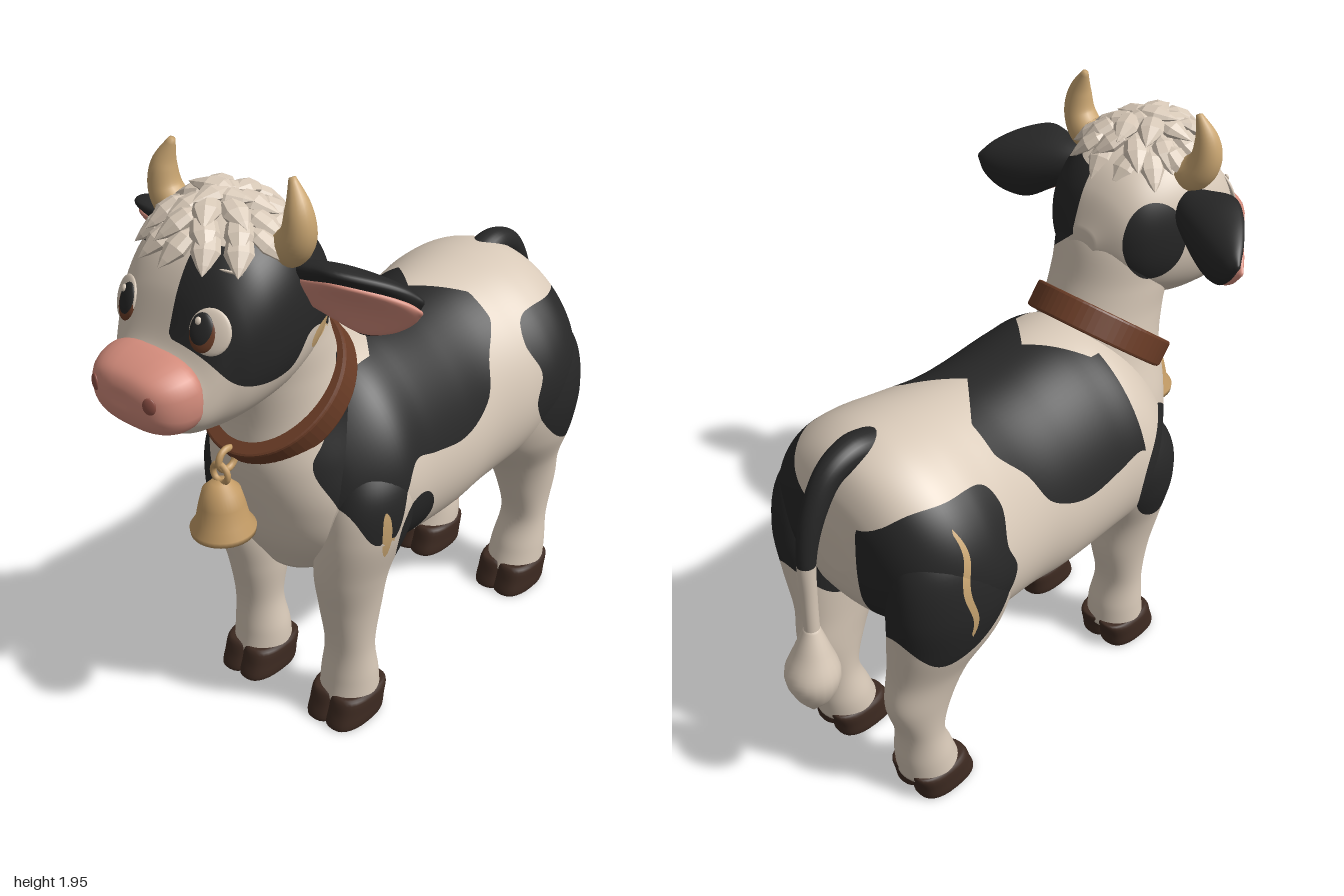
import * as THREE from 'three';

const V = (x, y, z) => new THREE.Vector3(x, y, z);
const mat = (name, color) => new THREE.MeshStandardMaterial({ name, color });
const X = V(1, 0, 0), Y = V(0, 1, 0), Z = V(0, 0, 1);

// Skin through elliptical stations [x, y, z, a, b]; u and v are the ring axes (v follows the path if absent)
function loft(stations, { u = X, v = null, rows = 28, segs = 32, pow = 1, egg = 0, bend = 0 } = {}) {
  const centre = new THREE.CatmullRomCurve3(stations.map(s => V(s[0], s[1], s[2])), false, 'catmullrom', 0.5);
  const size = new THREE.CatmullRomCurve3(stations.map(s => V(s[3], s[4], 0)), false, 'catmullrom', 0.5);
  const pos = [], idx = [];
  const soft = c => Math.sign(c) * Math.abs(c) ** pow;
  for (let i = 0; i <= rows; i++) {
    const c = centre.getPoint(i / rows), r = size.getPoint(i / rows);
    const w = v || centre.getTangent(i / rows).cross(u).normalize();
    for (let j = 0; j < segs; j++) {
      const t = j / segs * Math.PI * 2, q = soft(Math.sin(t));
      const p = r.x * soft(Math.cos(t)) * (1 - egg * q);
      pos.push(...c.clone().addScaledVector(u, p).addScaledVector(w, r.y * q + bend * p * p).toArray());
    }
  }
  const end = rows * segs, cap = pos.length / 3;
  pos.push(...centre.getPoint(0).toArray(), ...centre.getPoint(1).toArray());
  for (let j = 0; j < segs; j++) {
    const k = (j + 1) % segs;
    for (let i = 0; i < end; i += segs) idx.push(i + j, i + k, i + k + segs, i + j, i + k + segs, i + j + segs);
    idx.push(cap, k, j, cap + 1, end + j, end + k);
  }
  // Turn the faces outward if the enclosed volume is negative
  const P = k => V().fromArray(pos, k * 3);
  let volume = 0;
  for (let k = 0; k < idx.length; k += 3) volume += P(idx[k]).dot(P(idx[k + 1]).cross(P(idx[k + 2])));
  if (volume < 0) idx.reverse();
  const g = new THREE.BufferGeometry();
  g.setAttribute('position', new THREE.Float32BufferAttribute(pos, 3));
  g.setIndex(idx);
  g.computeVertexNormals();
  return g;
}

// Sort triangles into material groups by a rule, cutting those that cross a colour border
function paint(g, rule) {
  const p = [...g.attributes.position.array], n = [...g.attributes.normal.array], old = g.index.array;
  const bins = [[], [], []], cuts = new Map(), kind = [];
  const at = (list, k) => V().fromArray(list, k * 3);
  for (let k = 0; k < p.length; k += 3) kind.push(rule(p[k], p[k + 1], p[k + 2]));
  const cut = (a, b) => {
    if (a > b) [a, b] = [b, a];
    const key = a + '_' + b;
    if (!cuts.has(key)) {
      let lo = at(p, a), hi = at(p, b);
      for (let i = 0; i < 9; i++) {
        const m = lo.clone().lerp(hi, .5);
        if (rule(m.x, m.y, m.z) === kind[a]) lo = m; else hi = m;
      }
      cuts.set(key, p.length / 3);
      p.push(...lo.toArray());
      n.push(...at(n, a).add(at(n, b)).normalize().toArray());
    }
    return cuts.get(key);
  };
  for (let k = 0; k < old.length; k += 3) {
    const t = [old[k], old[k + 1], old[k + 2]];
    const lone = [0, 1, 2].find(i => kind[t[(i + 1) % 3]] === kind[t[(i + 2) % 3]]) ?? 0;
    const a = t[lone], b = t[(lone + 1) % 3], c = t[(lone + 2) % 3];
    if (kind[a] === kind[b]) { bins[kind[a]].push(a, b, c); continue; }
    const ab = cut(a, b), ac = cut(a, c);
    bins[kind[a]].push(a, ab, ac);
    bins[kind[b]].push(ab, b, c, ab, c, ac);
  }
  g.setAttribute('position', new THREE.Float32BufferAttribute(p, 3));
  g.setAttribute('normal', new THREE.Float32BufferAttribute(n, 3));
  g.setIndex(bins.flat());
  bins.reduce((start, b, i) => { g.addGroup(start, b.length, i); return start + b.length; }, 0);
  return g;
}

// Smooth closed outlines of coat patches, in (z, y)
const outline = pts => new THREE.CatmullRomCurve3(pts.map(p => V(p[0], p[1], 0)), true).getPoints(90);
const inside = (poly, z, y) => poly.reduce((hit, a, i) => {
  const b = poly[(i + 1) % poly.length];
  return a.y > y !== b.y > y && z < (b.x - a.x) * (y - a.y) / (b.y - a.y) + a.x ? !hit : hit;
}, false);
const oval = (z, y, cz, cy, rz, ry) => ((z - cz) / rz) ** 2 + ((y - cy) / ry) ** 2 < 1;
const saddle = outline([[.43, 1.1], [.25, 1.4], [.05, 1.42], [-.2, 1.4], [-.32, 1.34], [-.36, 1.22], [-.27, 1.1], [-.21, .99],
  [-.07, .93], [.09, .95], [.19, .97], [.25, .88], [.3, .75], [.37, .75], [.43, .88], [.48, 1.02]]);
const haunch = outline([[-.45, 1.17], [-.57, 1.19], [-.72, 1.17], [-.81, 1.02], [-.8, .8], [-.7, .66], [-.58, .7],
  [-.47, .8], [-.42, .9], [-.45, 1.0], [-.42, 1.1]]);
const face = outline([[.86, 1.75], [.85, 1.55], [.79, 1.44], [.7, 1.41], [.6, 1.42], [.53, 1.5], [.45, 1.49], [.31, 1.41],
  [.2, 1.5], [.28, 1.7], [.45, 1.76], [.7, 1.77]]);

// 0 = cream, 1 = black, 2 = tan
function coat(x, y, z) {
  const ax = Math.abs(x);
  if (y > 1.38) {
    if (x > 0 && oval(z, y, .44, 1.455, .065, .04)) return 2;
    if (x > .035 + Math.max(0, 1.55 - y) * 1.1 && inside(face, z, y)) return 1;
    return x < -.06 && oval(z, y, .41, 1.56, .085, .13) ? 1 : 0;
  }
  if (x > .2 && oval(z, y, .33 + .05 * (y - .76), .77, .017, .085)) return 2;
  if (x < -.2 && oval(z, y, -.62 + .012 * Math.sin(y * 25), .94, .012, .2)) return 2;
  if (ax > .1 && inside(haunch, z, y)) return 1;
  const open = z > -.35 + Math.max(0, .13 - ax * .9) && (ax > .16 || z < .02 + ax * .9);
  if (open && inside(saddle, z, y) && (x > 0 || z < .2)) return 1;
  if (x > .1 && oval(z, y, .18, .725, .095, .125)) return 1;
  return x < -.19 && oval(z, y, .34, .81, .16, .19) ? 1 : 0;
}

export function createModel() {
  const cream = mat('cream', 0xd8c9b8), black = mat('black', 0x272727), tan = mat('horn tan', 0xcaa672);
  const pink = mat('pink', 0xd48c7c), darkPink = mat('nostril pink', 0x8f5146), leather = mat('leather brown', 0x6a3c26);
  const hoofBrown = mat('hoof brown', 0x3d2a21), brass = mat('bell brass', 0xc49c66);
  const hide = [cream, black, tan];
  const cow = new THREE.Group();
  cow.name = 'cow';
  const add = (name, g, m, parent = cow) => {
    const mesh = new THREE.Mesh(g, m);
    mesh.name = name;
    parent.add(mesh);
    return mesh;
  };
  const ball = (name, m, c, r) => {
    const b = add(name, new THREE.SphereGeometry(1, 20, 14), m);
    b.position.set(...c);
    b.scale.set(...r);
    return b;
  };
  // Stations from rows of [z, top, bottom, half width], and of [y, z, x radius, z radius]
  const along = rows => rows.map(([z, t, b, w]) => [0, (t + b) / 2, z, w, (t - b) / 2]);
  const upright = rows => rows.map(([y, z, a, b]) => [0, y, z, a, b]);

  // Barrel, neck, head and snout
  add('body', paint(loft(along([[.5, .98, .74, .1], [.46, 1.06, .65, .21], [.38, 1.17, .58, .31], [.25, 1.27, .55, .375],
    [.1, 1.29, .52, .37], [-.1, 1.28, .51, .365], [-.25, 1.285, .525, .36], [-.4, 1.3, .56, .385], [-.52, 1.31, .6, .405],
    [-.63, 1.305, .66, .385], [-.72, 1.26, .72, .32], [-.77, 1.17, .8, .22], [-.79, 1.05, .9, .06]]),
    { v: Y, rows: 100, segs: 100, egg: .12 }), coat), hide);
  add('neck', paint(loft(upright([[.55, .3, .12, .12], [.7, .33, .25, .18], [.85, .33, .285, .225], [1, .335, .26, .25],
    [1.15, .365, .21, .22], [1.28, .405, .19, .2], [1.4, .44, .19, .187], [1.55, .46, .185, .165], [1.65, .47, .1, .1]]),
    { v: Z, rows: 66, segs: 70 }), coat), hide);
  const head = add('head', paint(loft(along([[.29, 1.58, 1.5, .05], [.34, 1.7, 1.4, .16], [.42, 1.78, 1.32, .22],
    [.55, 1.83, 1.27, .262], [.66, 1.81, 1.25, .265], [.74, 1.75, 1.24, .245], [.8, 1.66, 1.24, .212], [.86, 1.51, 1.255, .175],
    [.92, 1.46, 1.29, .13]]), { v: Y, rows: 90, segs: 100, pow: .88 }), coat), hide);
  const snout = add('snout', loft([[.83, 1.4, .14, .085], [.865, 1.4, .176, .108], [.91, 1.395, .174, .11], [.955, 1.395, .152, .095],
    [.985, 1.4, .115, .07], [1, 1.405, .06, .035], [1, 1.405, .01, .01]].map(([z, y, a, b]) => [0, y, z, a, b]),
    { v: Y, pow: .74 }), pink);

  // Eyes, brows and nostrils, seated on the face
  const seat = (name, m, x, y, r, lift = 0, on = head) => {
    const hit = new THREE.Raycaster(V(x, y, 3), V(0, 0, -1)).intersectObject(on)[0];
    ball(name, m, hit.point.addScaledVector(hit.face.normal, lift).toArray(), r).quaternion.setFromUnitVectors(Z, hit.face.normal);
  };
  for (const s of [-1, 1]) {
    seat('eyeWhite', cream, s * .16, 1.58, [.06, .064, .012]);
    seat('iris', leather, s * .143, 1.574, [.04, .052, .012], .005);
    seat('pupil', black, s * .14, 1.582, [.035, .048, .012], .008);
    seat('eyeGlint', cream, s * .14 - .01, 1.605, [.009, .011, .006], .019);
    seat('brow', s > 0 ? cream : black, s * .16, 1.72, [.032, .004, .006]);
    seat('nostril', darkPink, s * .105, 1.415, [.02, .025, .007], 0, snout);

    // Ears: black cupped leaf, tipped forward, with a pink lining
    const ear = [[.2, 1.655, .52, .05, .035], [.27, 1.645, .49, .09, .045], [.35, 1.635, .455, .125, .045],
      [.43, 1.625, .42, .105, .038], [.49, 1.62, .395, .06, .025], [.525, 1.62, .38, .008, .006]];
    const leaf = { u: V(0, .88, .47), bend: s * 3.5 };
    add('ear', loft(ear.map(([x, ...r]) => [s * x, ...r]), leaf), black);
    add('earLining', loft(ear.map(([x, y, z, a, b]) => [s * (x + .006), y - .026, z + .012, a * .8, b * .7]), leaf), pink);

    // Horns
    add('horn', loft([[.16, 1.735, .55, .05, .05], [.215, 1.75, .555, .056, .056], [.25, 1.8, .56, .05, .05],
      [.25, 1.87, .56, .037, .037], [.222, 1.945, .55, .01, .01]].map(([x, ...r]) => [s * x, ...r]), { u: Z, segs: 20 }), tan);

    // Legs, rows of [y, x, z, x radius, z radius]
    const leg = (name, rows) => add(name, paint(loft(rows.map(([y, x, z, a, b]) => [s * x, y, z, a, b]),
      { v: Z, rows: 64, segs: 56 }), coat), hide);
    leg('frontLeg', [[.08, .195, .305, .1, .098], [.16, .195, .303, .096, .09], [.28, .2, .308, .084, .078], [.43, .2, .305, .098, .105],
      [.58, .213, .31, .115, .13], [.75, .245, .28, .13, .165], [.9, .25, .25, .125, .165], [1.05, .22, .22, .07, .1]]);
    leg('hindLeg', [[.08, .195, -.635, .1, .105], [.16, .195, -.652, .096, .094], [.28, .2, -.67, .083, .078],
      [.42, .205, -.665, .092, .122], [.55, .215, -.625, .11, .15], [.7, .24, -.575, .145, .205], [.85, .255, -.56, .155, .225],
      [1, .25, -.56, .14, .2], [1.12, .22, -.56, .09, .13]]);

    // Hooves: two close toes each
    for (const z of [.3, -.635]) for (const t of [-1, 1]) {
      const x = s * .195 + t * .04;
      add('hoofToe', loft([[x, 0, z + .03, .04, .09], [x, .004, z + .03, .064, .11], [x, .05, z + .018, .066, .107],
        [x, .1, z + .004, .062, .104], [x, .106, z, .03, .08]], { v: Z, rows: 16, segs: 28, pow: .8 }), hoofBrown);
    }
    for (const z of [-.29, -.42]) ball('teat', pink, [s * .065, .435, z], [.028, .05, .028]);
  }
  ball('udder', pink, [0, .53, -.34], [.15, .105, .175]);

  // Forelock: faceted locks laid over a dome
  const lock = new THREE.LatheGeometry([[0, -.5], [.3, -.25], [.34, .05], [.16, .35], [0, .55]]
    .map(p => new THREE.Vector2(...p)), 8).toNonIndexed();
  lock.computeVertexNormals();
  [[.03, 4], [.09, 7], [.145, 10], [.18, 13]].forEach(([d, n], ring) => {
    for (let i = 0; i < n; i++) {
      const a = (i + ring * .37) / n * Math.PI * 2, bent = a + Math.sin(i * 2.3 + ring) * .4;
      const out = V(Math.sin(bent), .15 - 5 * d, Math.cos(bent)).normalize(), side = out.clone().cross(Y).normalize();
      const m = add('hairLock', lock, cream);
      m.quaternion.setFromRotationMatrix(new THREE.Matrix4().makeBasis(side, out, side.clone().cross(out)));
      m.position.set(Math.sin(a) * d, 1.865 - 3 * d * d + .01 * Math.sin(i * 5), .59 + Math.cos(a) * d);
      m.scale.set(.12, .14, .075);
    }
  });

  // Tail with a brush
  add('tail', paint(loft(upright([[1.25, -.6, .06, .06], [1.275, -.69, .052, .05], [1.24, -.78, .043, .043], [1.13, -.85, .037, .037],
    [1, -.885, .03, .03], [.85, -.89, .025, .025], [.68, -.895, .025, .025]]), { rows: 60, segs: 24 }),
    (x, y) => y > .98 ? 1 : 0), hide);
  add('tailBrush', loft(upright([[.74, -.893, .022, .022], [.65, -.9, .06, .055], [.56, -.908, .09, .085], [.48, -.912, .068, .062],
    [.405, -.92, .006, .006]]), { v: Z, rows: 24, segs: 20 }), cream);

  // Collar: tilted oval band
  const band = new THREE.Shape().absellipse(0, 0, .222, .25, 0, Math.PI * 2);
  band.holes.push(new THREE.Path().absellipse(0, 0, .185, .21, 0, Math.PI * 2));
  const collar = add('collar', new THREE.ExtrudeGeometry(band, { depth: .075, bevelSize: .008, bevelThickness: .008,
    bevelSegments: 2, curveSegments: 32 }).translate(0, 0, -.038), leather);
  collar.position.set(0, 1.187, .393);
  collar.rotation.x = -Math.atan2(.77, .635);

  // Bell with rings and clapper
  const bell = new THREE.Group();
  bell.name = 'bell';
  bell.position.set(0, .8, .65);
  cow.add(bell);
  add('bellBody', new THREE.LatheGeometry([[0, .02], [.08, .015], [.098, 0], [.1, .018], [.082, .045], [.07, .1], [.058, .145],
    [.03, .172], [0, .178]].map(p => new THREE.Vector2(...p)), 36), brass, bell);
  add('bellRing', new THREE.TorusGeometry(.03, .01, 10, 24), brass, bell).position.y = .2;
  const link = add('collarLink', new THREE.TorusGeometry(.034, .011, 10, 24), brass, bell);
  link.position.set(0, .235, -.03);
  link.rotation.y = Math.PI / 2;
  add('clapper', new THREE.SphereGeometry(.026, 16, 12), brass, bell).position.y = -.004;
  return cow;
}
